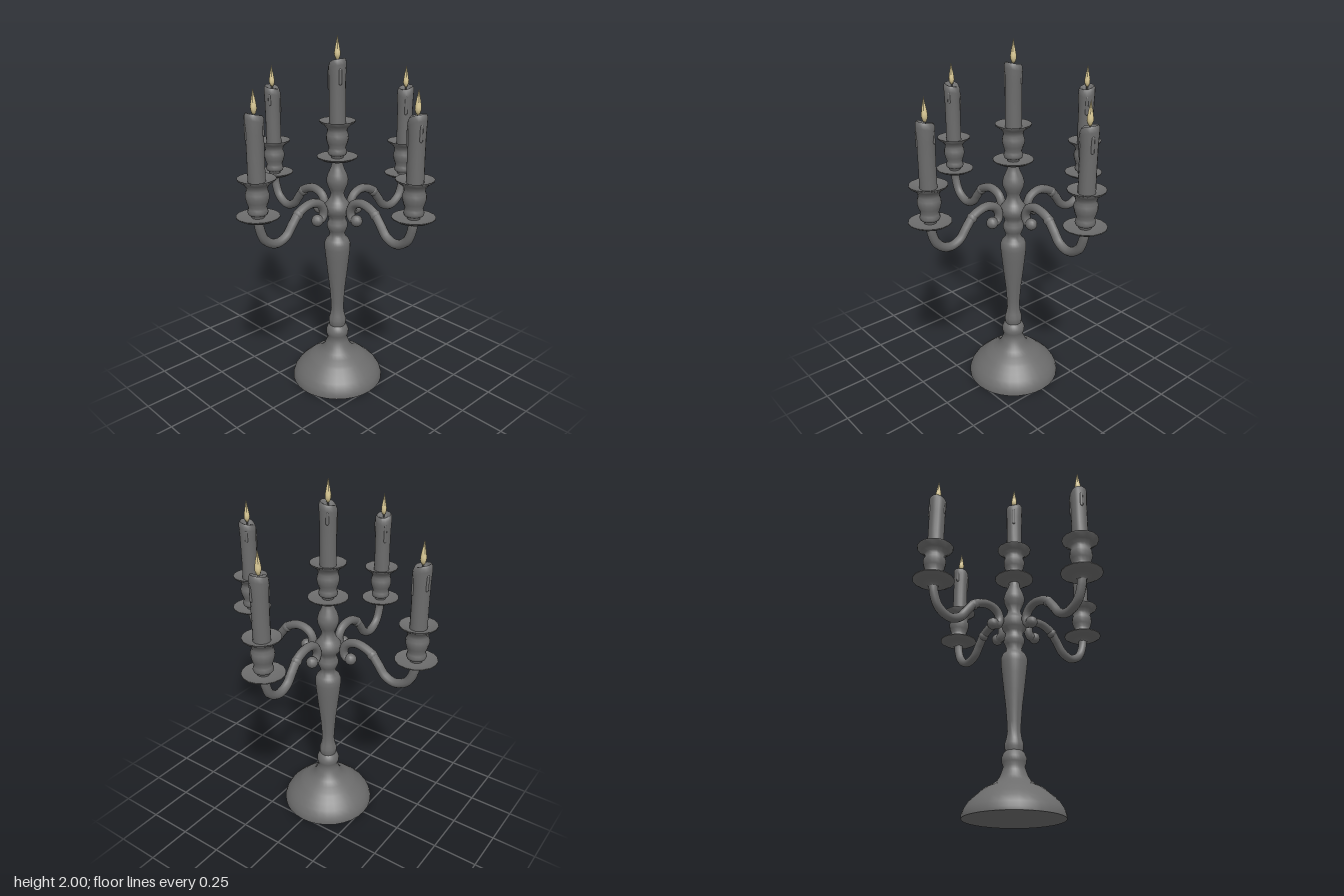
import * as THREE from 'three';
import { toCreasedNormals } from 'three/addons/utils/BufferGeometryUtils.js';

const metal = new THREE.MeshStandardMaterial({ color: 0x6c6c6c });
metal.name = 'dark grey';
const flameMat = new THREE.MeshStandardMaterial({ color: 0xdccb96 });
flameMat.name = 'flame cream';

const ARM_REACH = 0.545;

function mesh(name, geometry, material = metal) {
  const m = new THREE.Mesh(geometry, material);
  m.name = name;
  return m;
}

// Turned part from [radius, height] pairs, listed from the bottom up
function turned(profile, segments, crease = 0.9) {
  const points = profile.map(([r, y]) => new THREE.Vector2(r, y));
  return toCreasedNormals(new THREE.LatheGeometry(points, segments), crease);
}

// Foot, baluster stem and knobs in one turned column
function makeColumn() {
  return mesh('column', turned([
    [0, 0], [0.265, 0], [0.265, 0.018], [0.256, 0.045], [0.235, 0.078], [0.205, 0.108],
    [0.172, 0.136], [0.158, 0.148], [0.125, 0.165], [0.096, 0.185], [0.076, 0.21],
    [0.064, 0.24], [0.056, 0.265], [0.064, 0.285], [0.066, 0.31], [0.056, 0.335],
    [0.046, 0.345], [0.05, 0.365], [0.05, 0.385], [0.042, 0.41], [0.036, 0.45],
    [0.038, 0.5], [0.045, 0.59], [0.056, 0.68], [0.066, 0.77], [0.073, 0.835],
    [0.073, 0.865], [0.064, 0.888], [0.047, 0.905], [0.042, 0.925], [0.05, 0.945],
    [0.058, 0.965], [0.057, 0.985], [0.048, 1.005], [0.05, 1.025], [0.066, 1.045],
    [0.073, 1.07], [0.07, 1.095], [0.054, 1.115], [0.042, 1.135], [0.036, 1.16],
    [0.046, 1.185], [0.058, 1.215], [0.06, 1.24], [0.052, 1.27], [0.038, 1.3],
    [0.03, 1.325], [0.03, 1.36],
  ], 32));
}

// Candle with a melted, sloping rim and a notch on one side
function makeCandle() {
  const g = new THREE.LatheGeometry([
    [0.045, 0.17], [0.044, 0.3], [0.045, 0.43], [0.048, 0.49], [0.047, 0.51],
    [0.04, 0.522], [0.03, 0.518], [0.018, 0.506], [0, 0.503],
  ].map(([r, y]) => new THREE.Vector2(r, y)), 16);
  const p = g.attributes.position;
  for (let i = 0; i < p.count; i++) {
    const x = p.getX(i), y = p.getY(i), z = p.getZ(i);
    if (y < 0.48) continue;
    const notch = Math.max(0, (z - x) / 0.066 - 0.55) * 0.03;
    p.setY(i, y + x * 0.22 - notch);
  }
  g.computeVertexNormals();
  const candle = new THREE.Group();
  candle.name = 'candle';
  candle.add(mesh('waxBody', toCreasedNormals(g, 1.1)));

  // Wax runs down the side
  [[0.4, 0.44, 0.07], [2.3, 0.42, 0.09], [4.2, 0.45, 0.05]].forEach(([a, y, len]) => {
    const drip = mesh('waxDrip', new THREE.CapsuleGeometry(0.009, len, 3, 8));
    drip.position.set(Math.cos(a) * 0.041, y, Math.sin(a) * 0.041);
    candle.add(drip);
  });

  const wick = mesh('wick', new THREE.CylinderGeometry(0.005, 0.005, 0.03, 6));
  wick.position.y = 0.515;
  const flame = mesh('flame', turned([
    [0, 0.518], [0.009, 0.524], [0.016, 0.545], [0.016, 0.56], [0.011, 0.588],
    [0.006, 0.615], [0, 0.644],
  ], 8), flameMat);
  candle.add(wick, flame);
  return candle;
}

// Drip dish, socket and candle; the dish rim is near y = 0
function makeHolder() {
  const holder = new THREE.Group();
  holder.name = 'candleHolder';
  holder.add(mesh('dripDish', turned([
    [0.024, -0.03], [0.032, -0.016], [0.06, -0.01], [0.09, -0.004], [0.111, 0.008],
    [0.111, 0.013], [0.09, 0.007], [0.06, 0.003], [0.03, 0.004],
  ], 16)));
  holder.add(mesh('socket', turned([
    [0.032, 0.002], [0.034, 0.014], [0.048, 0.022], [0.053, 0.035], [0.048, 0.05],
    [0.046, 0.062], [0.055, 0.085], [0.061, 0.11], [0.06, 0.13], [0.053, 0.148],
    [0.056, 0.165], [0.07, 0.182], [0.096, 0.2], [0.098, 0.208], [0.075, 0.2],
    [0.045, 0.19], [0, 0.19],
  ], 16)));
  holder.add(makeCandle());
  return holder;
}

// S-shaped branch ending in a scroll beside the column
function makeArm() {
  const arm = new THREE.Group();
  arm.name = 'arm';
  const path = new THREE.CatmullRomCurve3([
    [ARM_REACH, 1.15], [0.538, 1.09], [0.505, 1.02], [0.435, 0.984], [0.37, 1.005],
    [0.325, 1.06], [0.275, 1.115], [0.19, 1.142], [0.128, 1.122], [0.104, 1.078],
    [0.115, 1.04], [0.148, 1.033],
  ].map(([x, y]) => new THREE.Vector3(x, y, 0)));
  arm.add(mesh('branch', new THREE.TubeGeometry(path, 48, 0.025, 10)));
  const ball = mesh('scrollEnd', new THREE.SphereGeometry(0.033, 12, 8));
  ball.position.set(0.15, 1.035, 0);
  // Small collar on the crest of the branch
  const collar = mesh('collar', new THREE.SphereGeometry(0.029, 12, 8));
  collar.position.set(0.285, 1.105, 0);
  const holder = makeHolder();
  holder.position.set(ARM_REACH, 1.153, 0);
  arm.add(ball, collar, holder);
  return arm;
}

export function createModel() {
  const model = new THREE.Group();
  model.name = 'candelabrum';
  model.add(makeColumn());
  for (let i = 0; i < 4; i++) {
    const arm = makeArm();
    arm.rotation.y = (i * Math.PI) / 2;
    model.add(arm);
  }
  const centre = makeHolder();
  centre.position.y = 1.356;
  model.add(centre);
  return model;
}
